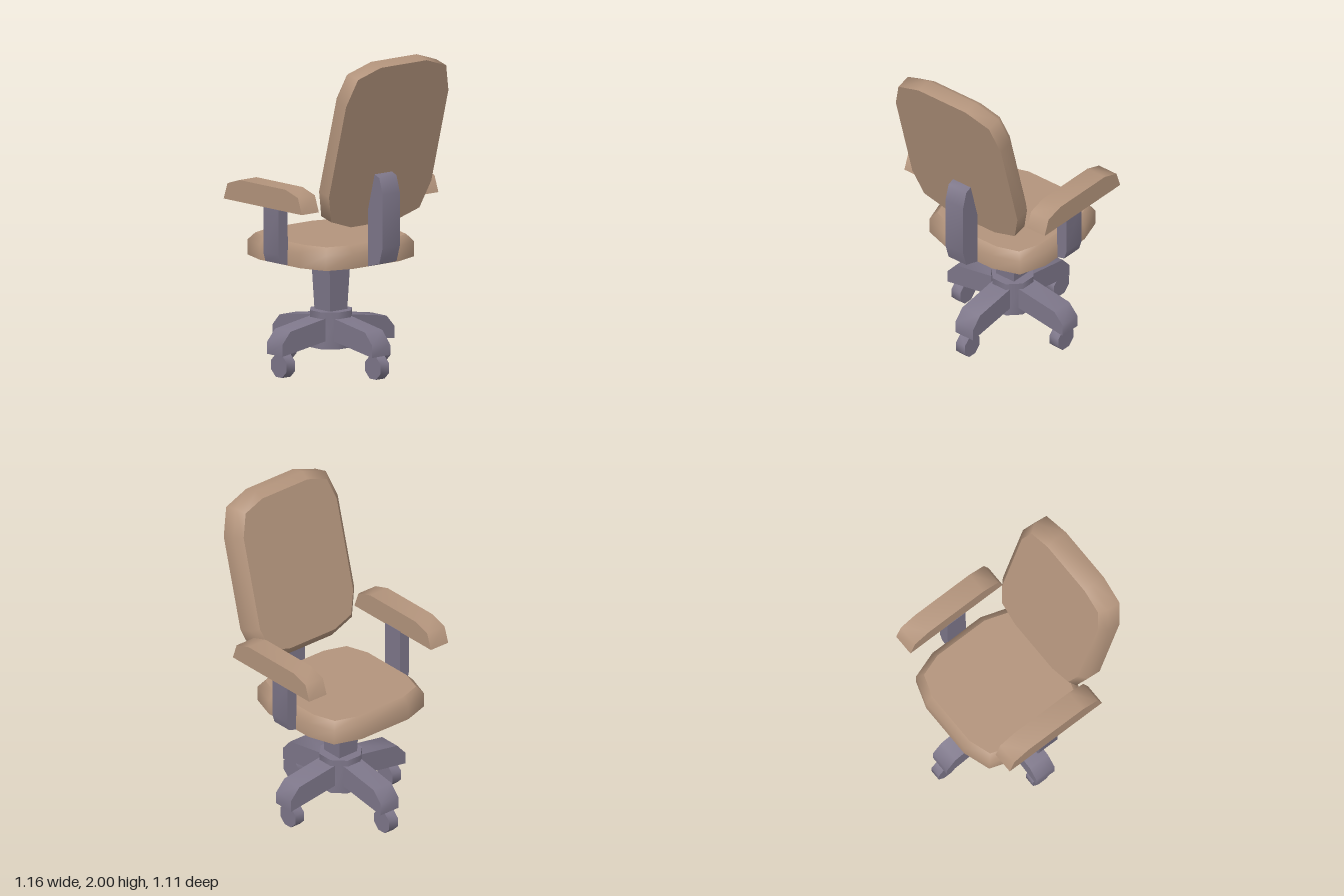
import * as THREE from 'three';
import { toCreasedNormals } from 'three/addons/utils/BufferGeometryUtils.js';

const upholstery = new THREE.MeshStandardMaterial({ color: 0xb3947c });
upholstery.name = 'tan upholstery';
const plastic = new THREE.MeshStandardMaterial({ color: 0x7d7689 });
plastic.name = 'grey plastic';

const CREASE = 1.0;
const AXIS_X = -0.09; // column axis; the chair faces -x

function part(parent, name, geometry, material) {
  const mesh = new THREE.Mesh(geometry, material);
  mesh.name = name;
  parent.add(mesh);
  return mesh;
}

// Side profile in x/y, extruded to a width centred on z = 0
function profile(points, width) {
  const shape = new THREE.Shape(points.map(([x, y]) => new THREE.Vector2(x, y)));
  const g = new THREE.ExtrudeGeometry(shape, { depth: width, bevelEnabled: false });
  g.translate(0, 0, -width / 2);
  return toCreasedNormals(g, CREASE);
}

// Regular prism with flats facing the axes
function prism(rTop, rBottom, height, sides) {
  const k = 1 / Math.cos(Math.PI / sides);
  const g = new THREE.CylinderGeometry(rTop * k, rBottom * k, height, sides, 1, false, Math.PI / sides);
  return toCreasedNormals(g, CREASE);
}

// Rounded rectangle in x/z, ordered from +x towards +z
function outline(a, b, r) {
  const far = 0.25 * r, pts = [];
  const corner = [[a, b - r], [a - far, b - far], [a - r, b]];
  const mirrored = (sx, sz, flip) => {
    const c = corner.map(([x, z]) => [x * sx, z * sz]);
    pts.push(...(flip ? c.reverse() : c));
  };
  mirrored(1, 1, false);
  mirrored(-1, 1, true);
  mirrored(-1, -1, false);
  mirrored(1, -1, true);
  return pts;
}

// Cushion: smooth sides with a chamfered upper rim, flat caps
function cushion(a, b, thickness) {
  const rim = 0.044;
  const outer = outline(a, b, 0.23);
  const inner = outline(a - rim, b - rim, 0.19);
  const n = outer.length, h = thickness / 2;
  const rings = [[outer, -h], [outer, h - rim], [inner, h], [outer, -h], [inner, h]];
  const pos = [], idx = [];
  for (const [loop, y] of rings) for (const [x, z] of loop) pos.push(x, y, z);
  for (let k = 0; k < 2; k++) {
    for (let i = 0; i < n; i++) {
      const p = k * n + i, q = k * n + (i + 1) % n;
      idx.push(p, p + n, q, q, p + n, q + n);
    }
  }
  for (let i = 1; i < n - 1; i++) {
    idx.push(3 * n, 3 * n + i, 3 * n + i + 1);
    idx.push(4 * n, 4 * n + i + 1, 4 * n + i);
  }
  const g = new THREE.BufferGeometry();
  g.setAttribute('position', new THREE.Float32BufferAttribute(pos, 3));
  g.setIndex(idx);
  g.computeVertexNormals();
  return g;
}

export function createModel() {
  const chair = new THREE.Group();
  chair.name = 'officeChair';

  // Seat and tilted backrest
  part(chair, 'seat', cushion(0.415, 0.415, 0.137), upholstery).position.set(AXIS_X, 0.768, 0);
  const back = part(chair, 'backrest', cushion(0.53, 0.415, 0.138), upholstery);
  const tilt = THREE.MathUtils.degToRad(75);
  back.rotation.z = tilt;
  back.position.set(0.4375 - 0.069 * Math.sin(tilt), 1.464 + 0.069 * Math.cos(tilt), 0);

  // Spine joining the seat to the backrest
  part(chair, 'backSupport', profile([
    [0.325, 0.70], [0.43, 0.73], [0.46, 0.83], [0.46, 1.16], [0.43, 1.26], [0.38, 1.28], [0.325, 1.28],
  ], 0.14), plastic);

  // Arms
  const padShape = profile([
    [-0.445, 1.07], [0.268, 1.07], [0.232, 1.17], [0.12, 1.205], [-0.30, 1.205], [-0.41, 1.17],
  ], 0.138);
  const postShape = profile([
    [0.41, 0.70], [0.468, 0.715], [0.485, 0.77], [0.485, 1.075], [0.414, 1.075],
  ], 0.14);
  for (const side of [1, -1]) {
    const name = side > 0 ? 'left' : 'right';
    part(chair, name + 'Armrest', padShape, upholstery).position.z = side * 0.485;
    const post = part(chair, name + 'ArmPost', postShape, plastic);
    post.rotation.y = -side * Math.PI / 2;
    post.position.x = AXIS_X;
  }

  // Tapered column and hub
  const base = new THREE.Group();
  base.name = 'base';
  base.position.x = AXIS_X;
  chair.add(base);
  part(base, 'column', prism(0.085, 0.07, 0.34, 4), plastic).position.y = 0.53;
  part(base, 'hub', prism(0.125, 0.125, 0.228, 8), plastic).position.y = 0.256;

  // Four legs with casters
  const legShape = profile([
    [0.08, 0.196], [0.455, 0.14], [0.455, 0.215], [0.39, 0.287], [0.08, 0.336],
  ], 0.14);
  const wheel = prism(0.07, 0.07, 0.07, 8);
  wheel.rotateX(Math.PI / 2);
  for (let i = 0; i < 4; i++) {
    const a = i * Math.PI / 2;
    part(base, 'leg', legShape, plastic).rotation.y = -a;
    part(base, 'caster', wheel, plastic).position.set(0.422 * Math.cos(a), 0.07, 0.387 * Math.sin(a));
  }
  return chair;
}
